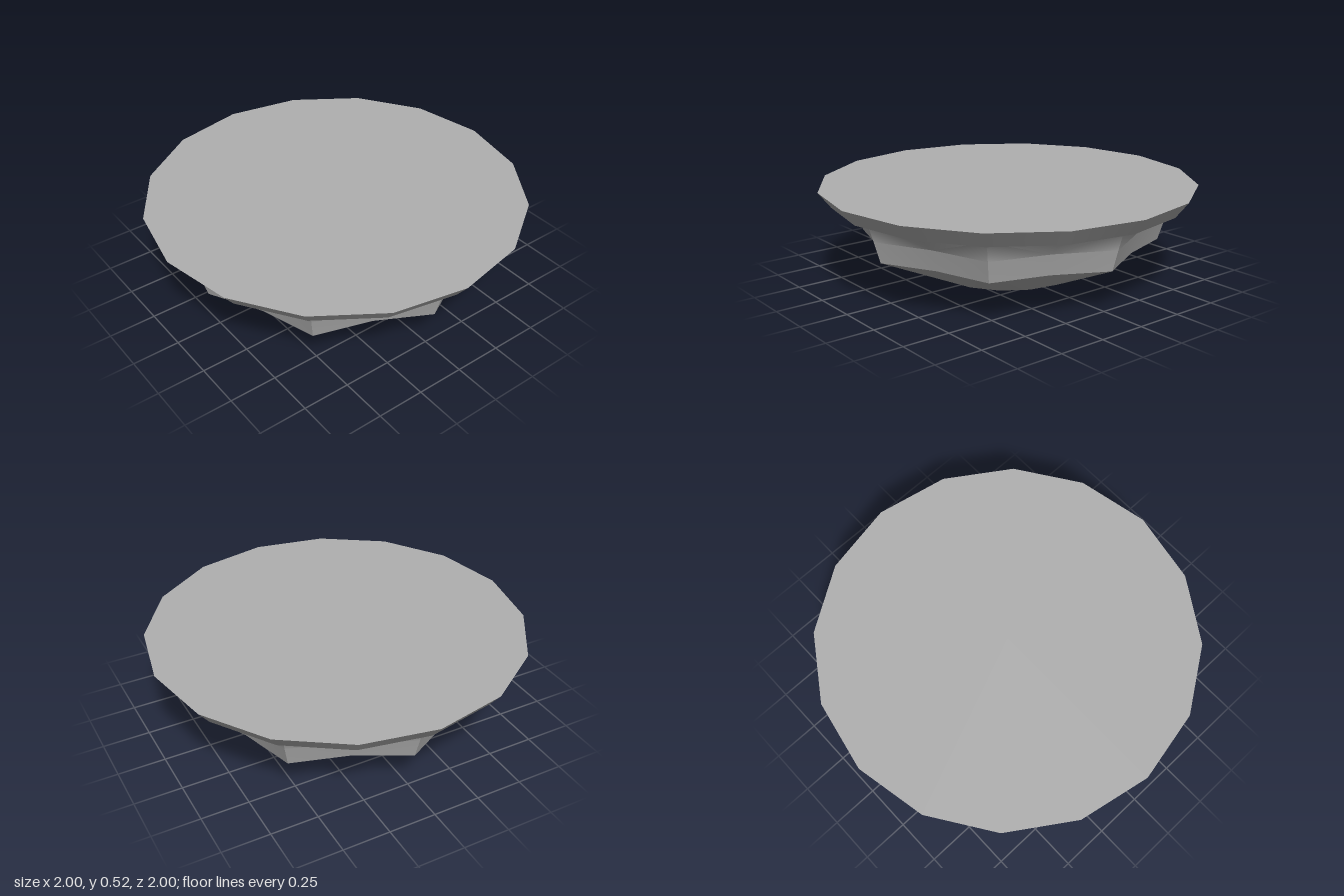
import * as THREE from 'three';
import { toCreasedNormals } from 'three/addons/utils/BufferGeometryUtils.js';

const SIDES = 16;

// Ring of points; odd points may sit further in, which gives the eight-pointed outline
function ring(y, r, rMid = r) {
  return Array.from({ length: SIDES }, (_, i) => {
    const a = (i / SIDES) * Math.PI * 2;
    const rad = i % 2 ? rMid : r;
    return [rad * Math.sin(a), y, rad * Math.cos(a)];
  });
}

// Skin between two rings, with mirrored diagonals and no zero-area triangles
function band(a, b, crease) {
  const pos = [];
  const same = (p, q) => Math.hypot(p[0] - q[0], p[1] - q[1], p[2] - q[2]) < 1e-6;
  const tri = (p, q, r) => {
    if (!same(p, q) && !same(q, r) && !same(p, r)) pos.push(...p, ...q, ...r);
  };
  for (let i = 0; i < SIDES; i++) {
    const j = (i + 1) % SIDES;
    if (i % 2) {
      tri(a[i], a[j], b[j]);
      tri(a[i], b[j], b[i]);
    } else {
      tri(a[i], a[j], b[i]);
      tri(a[j], b[j], b[i]);
    }
  }
  const g = new THREE.BufferGeometry();
  g.setAttribute('position', new THREE.Float32BufferAttribute(pos, 3));
  g.computeVertexNormals();
  return toCreasedNormals(g, crease);
}

export function createModel() {
  const group = new THREE.Group();
  const grey = new THREE.MeshStandardMaterial({ color: 0xb0b0b0 });
  grey.name = 'grey';

  const add = (name, geometry) => {
    const mesh = new THREE.Mesh(geometry, grey);
    mesh.name = name;
    group.add(mesh);
    return mesh;
  };

  // Rings from the bottom point, outward and up to the flat top
  const tip = ring(0, 0);
  const recess = ring(0.09, 0.25);
  const foot = ring(0.04, 0.4);
  const starLow = ring(0.22, 0.8, 0.71);
  const starHigh = ring(0.335, 0.835, 0.745);
  const neck = ring(0.437, 0.868);
  const rimLow = ring(0.437, 0.935);
  const rimHigh = ring(0.52, 1);
  const centre = ring(0.52, 0);

  add('bottomCone', band(tip, recess, 0.9));
  add('bottomRecess', band(recess, foot, 0.9));
  add('lowerBowl', band(foot, starLow, 0.9));
  add('scallopedBand', band(starLow, starHigh, 0.6));
  add('upperBowl', band(starHigh, neck, 0.9));
  add('rimUnderside', band(neck, rimLow, 0.6));
  add('rim', band(rimLow, rimHigh, 0.6));
  add('topDisc', band(rimHigh, centre, 0.6));

  // Small stud on the front of the lower bowl
  const stud = add('frontStud', new THREE.CylinderGeometry(0.035, 0.015, 0.018, 10));
  stud.position.set(0, 0.11, 0.57);

  return group;
}
